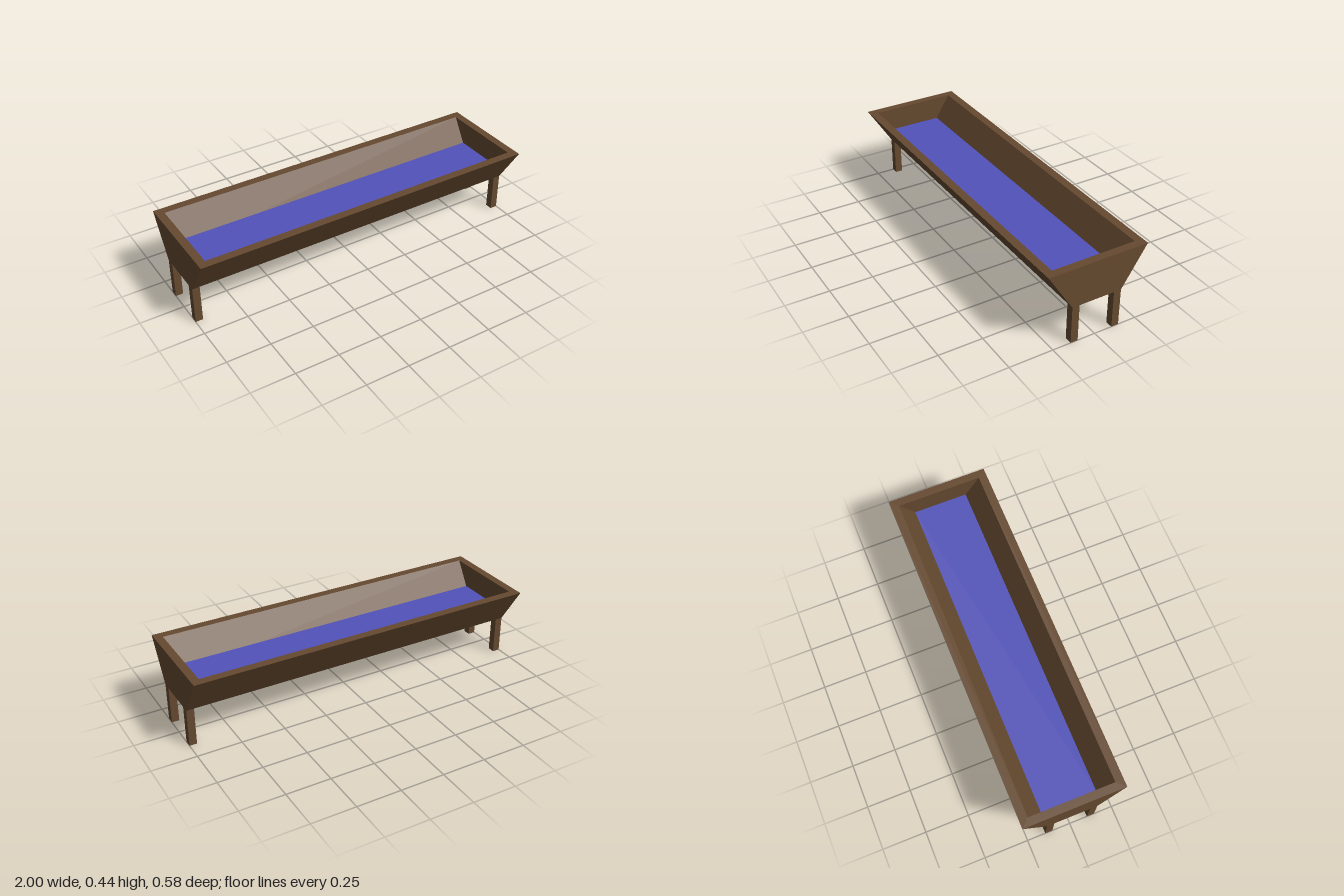
import * as THREE from 'three';

const wood = new THREE.MeshStandardMaterial({ color: 0x664a30, flatShading: true });
const blue = new THREE.MeshStandardMaterial({ color: 0x5252ba, flatShading: true });

const BASE = 0.217, TOP = 0.445, WATER = 0.309, FLOOR = 0.26;
const INNER_X = 0.955;
// half-depth of the sloping inner wall at height y
const innerZ = (y) => 0.243 - (TOP - y) * 0.636;

// Skins rectangular rings [halfX, y, halfZ] in order, closing both ends
function loftRings(rings) {
  const pos = [];
  const corners = rings.map(([x, y, z]) => [[-x, y, z], [x, y, z], [x, y, -z], [-x, y, -z]]);
  const quad = (a, b, c, d) => pos.push(...a, ...b, ...c, ...a, ...c, ...d);
  for (let r = 0; r < corners.length - 1; r++) {
    const lo = corners[r], hi = corners[r + 1];
    for (let i = 0; i < 4; i++) {
      const j = (i + 1) % 4;
      quad(lo[i], lo[j], hi[j], hi[i]);
    }
  }
  const first = corners[0], last = corners[corners.length - 1];
  quad(first[3], first[2], first[1], first[0]);
  quad(...last);
  const geo = new THREE.BufferGeometry();
  geo.setAttribute('position', new THREE.Float32BufferAttribute(pos, 3));
  geo.computeVertexNormals();
  return geo;
}

export function createModel() {
  const model = new THREE.Group();
  model.name = 'waterTrough';
  const add = (name, geo, mat) => {
    const mesh = new THREE.Mesh(geo, mat);
    mesh.name = name;
    model.add(mesh);
    return mesh;
  };

  // Basin: outer walls, rim, inner walls and floor; the ends are upright
  add('basin', loftRings([
    [1, BASE, 0.145],
    [1, TOP, 0.29],
    [INNER_X, TOP, 0.243],
    [INNER_X, FLOOR, innerZ(FLOOR)],
  ]), wood);

  // Water surface
  const water = add('water', new THREE.PlaneGeometry(2 * INNER_X, 2 * innerZ(WATER)), blue);
  water.rotation.x = -Math.PI / 2;
  water.position.y = WATER;

  // Four square legs flush with the corners of the base
  const legGeo = new THREE.BoxGeometry(0.042, BASE, 0.042);
  for (const sx of [1, -1]) {
    for (const sz of [1, -1]) {
      const name = (sz > 0 ? 'front' : 'back') + (sx > 0 ? 'Left' : 'Right') + 'Leg';
      add(name, legGeo, wood).position.set(sx * 0.979, BASE / 2, sz * 0.124);
    }
  }
  return model;
}
